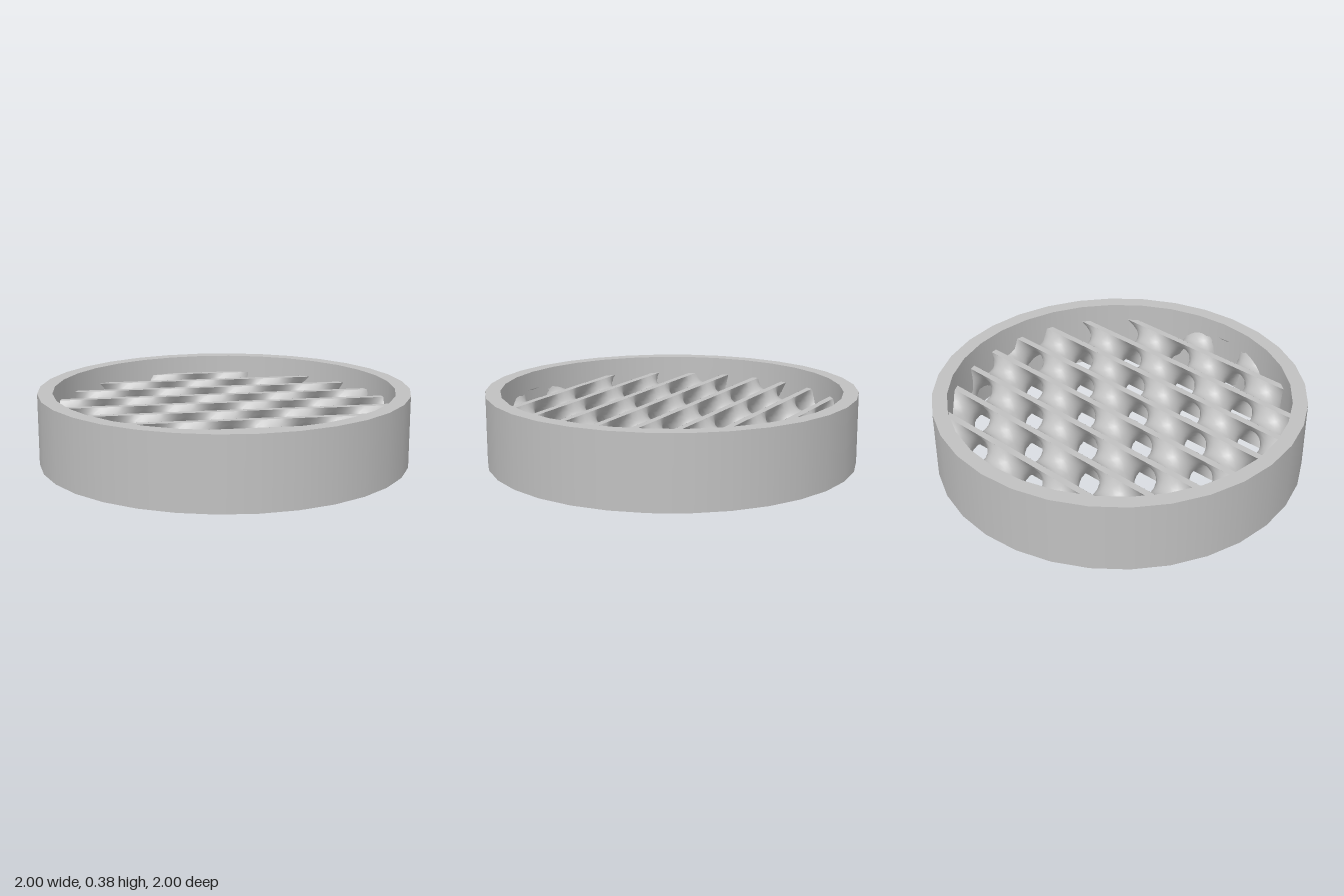
import * as THREE from 'three';

const HEIGHT = 0.385, OUTER = 1, INNER = 0.92, SIDES = 32;
const CELL = 0.286;               // spacing of the lattice, also its height
const K = Math.PI / CELL;
const LEVEL = 0.2;                // half thickness of the wall, as a field value
const BAR = 0.11;                 // x - z of the bar nearest the middle

// Diamond minimal surface: field value and gradient at a point
const phases = (x, y, z) => [K * (x - BAR) + Math.PI / 2, -K * z, K * y - 0.75 * Math.PI];
function field(x, y, z) {
  const [a, b, c] = phases(x, y, z);
  return Math.cos(a) * Math.cos(b) * Math.cos(c) - Math.sin(a) * Math.sin(b) * Math.sin(c);
}
function gradient(x, y, z) {
  const [a, b, c] = phases(x, y, z);
  const [sa, sb, sc] = [a, b, c].map(Math.sin), [ca, cb, cc] = [a, b, c].map(Math.cos);
  return new THREE.Vector3(
    -sa * cb * cc - ca * sb * sc,
    -ca * cb * sc - sa * sb * cc,
    ca * sb * cc + sa * cb * sc).normalize();
}

// The six tetrahedra of a cube, as corner numbers (bits: x, y, z)
const TETS = [[1, 2], [2, 1], [1, 4], [4, 1], [2, 4], [4, 2]].map(([p, q]) => [0, p, p + q, 7]);

// One face of the lattice wall: the surface where field = level
function latticeFace(level) {
  const steps = 8, s = CELL / steps, n = Math.ceil(0.96 / s);
  const positions = [], normals = [];
  const sign = Math.sign(level);
  const cross = (p, q) => p.clone().lerp(q, (level - p.f) / (q.f - p.f));
  const ab = new THREE.Vector3(), ac = new THREE.Vector3();
  const triangle = (a, b, c) => {
    const g = [a, b, c].map((p) => gradient(p.x, p.y, p.z).multiplyScalar(sign));
    ab.subVectors(b, a).cross(ac.subVectors(c, a));
    const order = ab.dot(g[0]) < 0 ? [0, 2, 1] : [0, 1, 2];
    for (const i of order) {
      positions.push(...[a, b, c][i].toArray());
      normals.push(...g[i].toArray());
    }
  };
  for (let i = -n; i < n; i++) for (let k = -n; k < n; k++) {
    // the rim of the lattice ends inside the ring wall
    if (Math.hypot(i + 0.5, k + 0.5) * s > 0.945) continue;
    for (let j = 0; j < steps; j++) {
      const corners = [];
      for (let m = 0; m < 8; m++) {
        const p = new THREE.Vector3(i + (m & 1), j + ((m >> 1) & 1), k + (m >> 2)).multiplyScalar(s);
        p.f = field(p.x, p.y, p.z);
        corners.push(p);
      }
      for (const tet of TETS) {
        const hi = [], lo = [];
        for (const m of tet) (corners[m].f > level ? hi : lo).push(corners[m]);
        if (!hi.length || !lo.length) continue;
        if (hi.length === 2) {
          const [a, b, c, d] = [cross(hi[0], lo[0]), cross(hi[0], lo[1]), cross(hi[1], lo[1]), cross(hi[1], lo[0])];
          triangle(a, b, c);
          triangle(a, c, d);
        } else {
          const [one, three] = hi.length === 1 ? [hi[0], lo] : [lo[0], hi];
          triangle(...three.map((p) => cross(one, p)));
        }
      }
    }
  }
  const geometry = new THREE.BufferGeometry();
  geometry.setAttribute('position', new THREE.Float32BufferAttribute(positions, 3));
  geometry.setAttribute('normal', new THREE.Float32BufferAttribute(normals, 3));
  return geometry;
}

export function createModel() {
  const model = new THREE.Group();
  const grey = new THREE.MeshStandardMaterial({ color: 0xc0c0c0, side: THREE.DoubleSide });
  grey.name = 'grey';
  const add = (parent, name, geometry) => {
    const mesh = new THREE.Mesh(geometry, grey);
    mesh.name = name;
    parent.add(mesh);
    return mesh;
  };

  // Ring: two walls and two flat rims
  const ring = new THREE.Group();
  ring.name = 'ring';
  model.add(ring);
  add(ring, 'outerWall', new THREE.CylinderGeometry(OUTER, OUTER, HEIGHT, SIDES, 1, true)).position.y = HEIGHT / 2;
  const inner = new THREE.CylinderGeometry(INNER, INNER, HEIGHT, SIDES, 1, true);
  inner.scale(1, 1, -1);          // mirrored, so that it faces inwards
  const innerNormals = inner.attributes.normal;
  for (let i = 0; i < innerNormals.count; i++) {
    innerNormals.setXYZ(i, -inner.attributes.position.getX(i) / INNER, 0, -inner.attributes.position.getZ(i) / INNER);
  }
  add(ring, 'innerWall', inner).position.y = HEIGHT / 2;
  for (const top of [true, false]) {
    const rim = new THREE.RingGeometry(INNER, OUTER, SIDES).rotateX(top ? -Math.PI / 2 : Math.PI / 2);
    add(ring, top ? 'topRim' : 'bottomRim', rim).position.y = top ? HEIGHT : 0;
  }

  // Lattice: the two faces of the curved wall
  const lattice = new THREE.Group();
  lattice.name = 'lattice';
  model.add(lattice);
  add(lattice, 'latticeFrontFace', latticeFace(LEVEL));
  add(lattice, 'latticeBackFace', latticeFace(-LEVEL));

  // Flat diagonal edges where the wall is cut at its top and bottom
  const width = Math.SQRT2 * Math.asin(LEVEL * Math.SQRT2) / K;
  for (let n = -5; n <= 5; n++) {
    const v = BAR + n * CELL, away = Math.abs(v) / Math.SQRT2;
    if (away > 0.91) continue;
    const length = 2 * Math.sqrt(0.94 ** 2 - away ** 2);
    for (const top of [true, false]) {
      const strip = new THREE.PlaneGeometry(length, width)
        .rotateX(top ? -Math.PI / 2 : Math.PI / 2).rotateY(-Math.PI / 4);
      add(lattice, top ? 'topEdge' : 'bottomEdge', strip).position.set(v / 2, top ? CELL : 0, -v / 2);
    }
  }
  return model;
}
